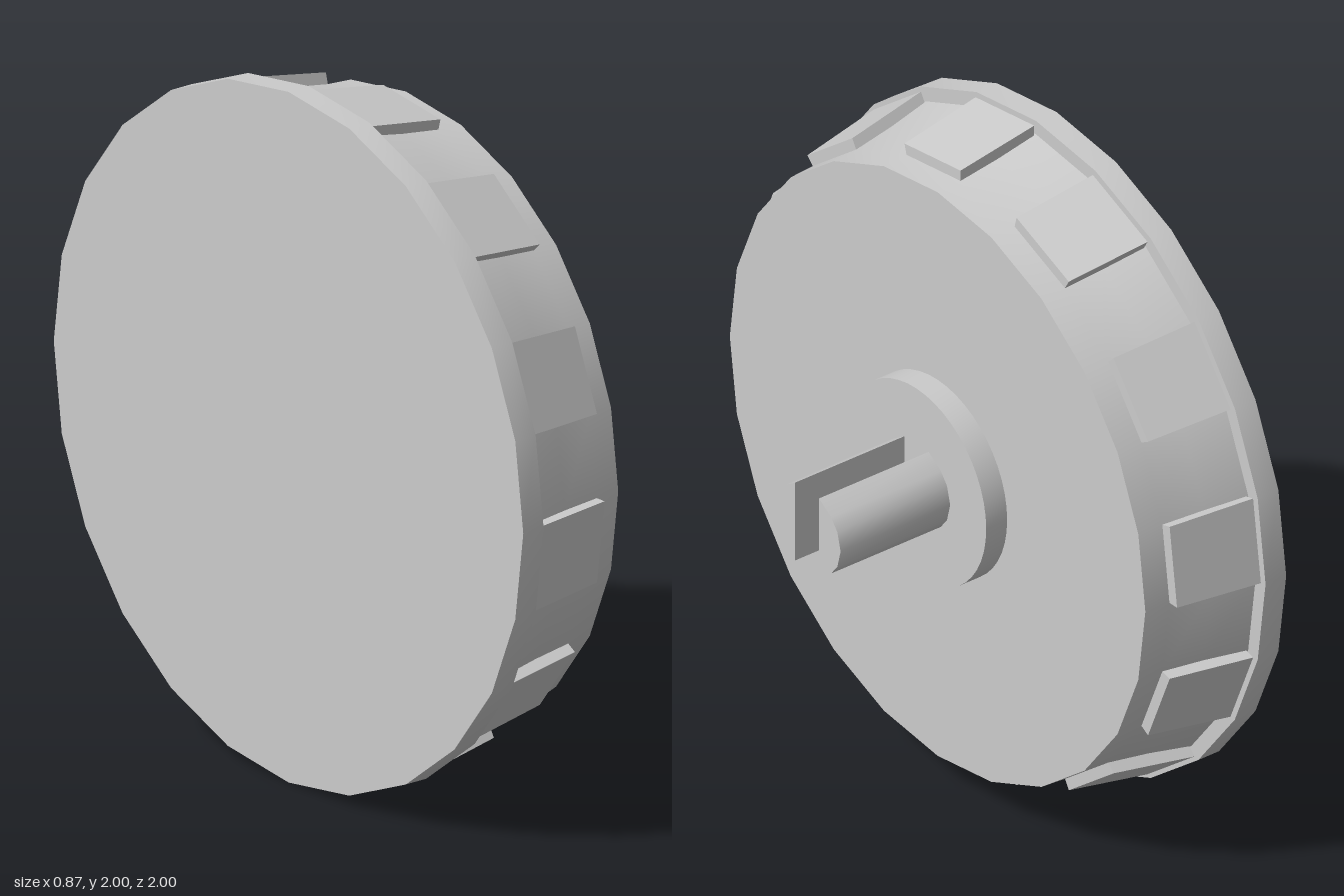
import * as THREE from 'three';
import { toCreasedNormals } from 'three/addons/utils/BufferGeometryUtils.js';

const SIDES = 24;
const STEP = (Math.PI * 2) / SIDES;

export function createModel() {
  const model = new THREE.Group();
  model.name = 'knob';
  const material = new THREE.MeshStandardMaterial({ color: 0xcccccc });

  function add(name, geometry, parent = model) {
    const mesh = new THREE.Mesh(geometry, material);
    mesh.name = name;
    parent.add(mesh);
    return mesh;
  }

  // Turned part around the x axis; profile holds [radius, x] pairs with x rising
  function turned(profile, sides) {
    const points = profile.map(([r, x]) => new THREE.Vector2(r, x));
    const geometry = new THREE.LatheGeometry(points, sides).rotateZ(-Math.PI / 2);
    return toCreasedNormals(geometry, 0.6);
  }

  // Back rim, slightly flared body and round hub
  add('rim', turned([[0, -0.435], [1, -0.435], [1, -0.363], [0, -0.363]], SIDES));
  add('body', turned([[0.957, -0.363], [0.93, -0.23], [0.91, -0.1], [0.905, -0.02], [0, -0.02]], SIDES));
  add('hub', turned([[0.303, -0.02], [0.303, 0.053], [0, 0.053]], 48));

  // Grip pads: wedge blocks on every second side of the body
  const grips = new THREE.Group();
  grips.name = 'gripPads';
  model.add(grips);
  const pad = new THREE.BoxGeometry(1, 1, 1);
  const p = pad.attributes.position;
  for (let i = 0; i < p.count; i++) {
    const back = p.getX(i) < 0;
    const radius = p.getY(i) < 0 ? 0.88 : back ? 0.987 : 0.943;
    const angle = p.getZ(i) > 0 ? -STEP : 0;
    p.setXYZ(i, back ? -0.357 : -0.1, radius * Math.sin(angle), radius * Math.cos(angle));
  }
  pad.computeVertexNormals();
  for (let i = 0; i < SIDES / 2; i++) {
    add('gripPad', pad, grips).rotation.x = i * 2 * STEP;
  }

  // Split shaft: two prongs with a flat slot between them
  const half = [[0.052, 0.125], [0.105, 0.09], [0.132, 0.055], [0.146, 0]];
  const outline = [...half, ...half.slice(0, 3).reverse().map(([u, v]) => [u, -v])];
  const shape = new THREE.Shape(outline.map(([u, v]) => new THREE.Vector2(u, v)));
  const prong = toCreasedNormals(
    new THREE.ExtrudeGeometry(shape, { depth: 0.382, bevelEnabled: false })
      .rotateY(Math.PI / 2)
      .translate(0.053, 0, 0),
    0.7
  );
  for (const turn of [0, Math.PI]) add('shaftProng', prong).rotation.x = turn;

  // Stand the wheel on the ground
  model.position.y = 1;
  return model;
}
